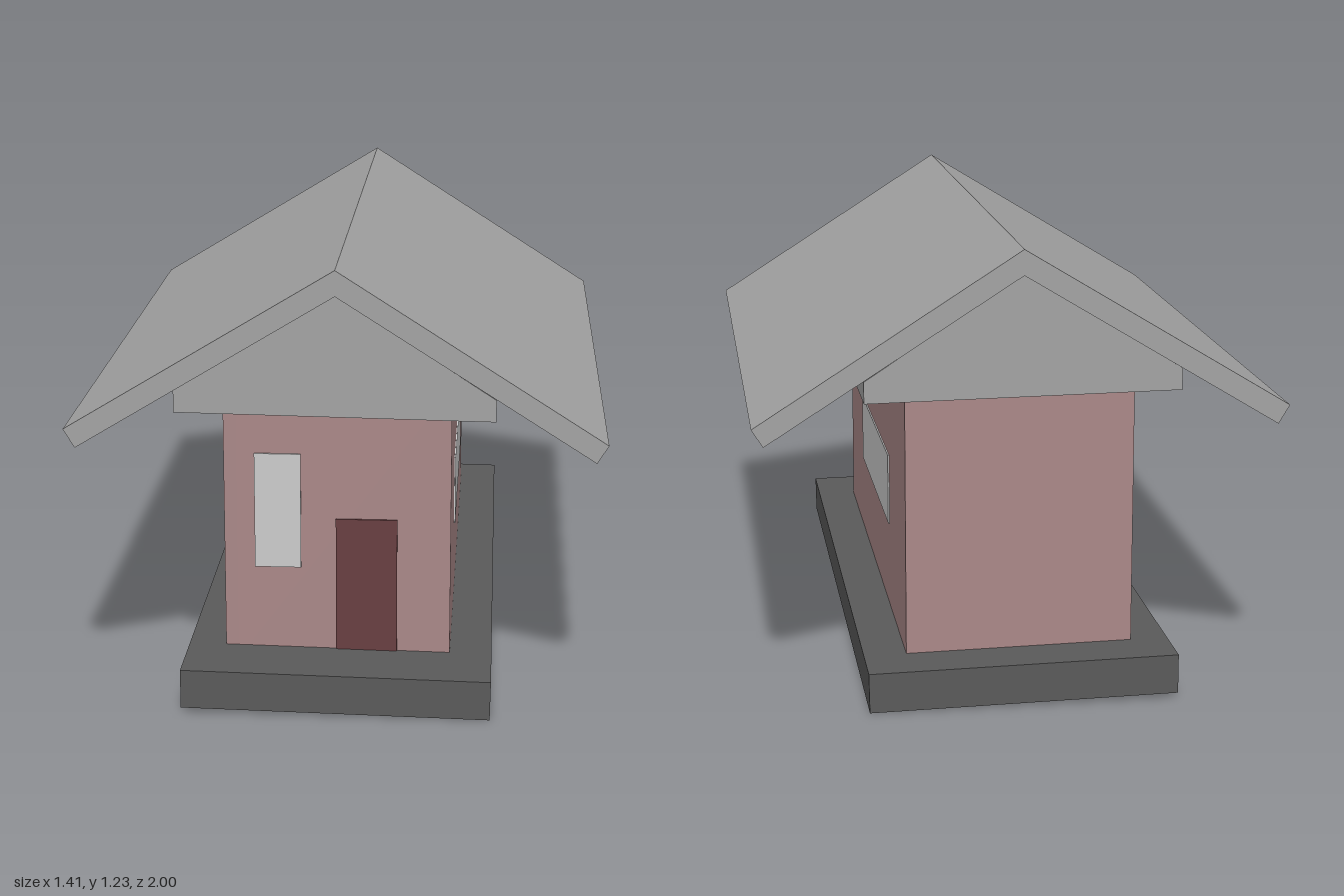
import * as THREE from 'three';

const mat = (color) => new THREE.MeshStandardMaterial({ color, flatShading: true });

// Closed outline in the XY plane
const outline = (pts) => new THREE.Shape(pts.map(([x, y]) => new THREE.Vector2(x, y)));

export function createModel() {
  const house = new THREE.Group();
  house.name = 'house';

  const wallMat = mat(0xaa8888);
  const roofMat = mat(0xa3a3a3);
  const baseMat = mat(0x5a5a5a);
  const glassMat = mat(0xcccccc);
  const doorMat = mat(0x693f41);

  function add(name, geometry, material) {
    const mesh = new THREE.Mesh(geometry, material);
    mesh.name = name;
    house.add(mesh);
    return mesh;
  }

  // Box given by its extents on each axis
  function box(name, [x0, x1], [y0, y1], [z0, z1], material) {
    const mesh = add(name, new THREE.BoxGeometry(x1 - x0, y1 - y0, z1 - z0), material);
    mesh.position.set((x0 + x1) / 2, (y0 + y1) / 2, (z0 + z1) / 2);
    return mesh;
  }

  // Outline pulled along z from z0 to z1
  function prism(name, pts, z0, z1, material) {
    const geometry = new THREE.ExtrudeGeometry(outline(pts), { depth: z1 - z0, bevelEnabled: false });
    geometry.translate(0, 0, z0);
    return add(name, geometry, material);
  }

  // Base slab, leaning very slightly to one side
  prism('base', [[-0.42, 0.015], [0.41, 0], [0.412, 0.108], [-0.42, 0.122]], -1, 0.98, baseMat);

  // Walls: solid core plus a thin skin with the recessed window opening
  box('walls', [-0.285, 0.297], [0.08, 0.86], [-0.855, 0.776], wallMat);
  const skin = outline([[-0.855, 0.08], [0.776, 0.08], [0.776, 0.86], [-0.855, 0.86]]);
  skin.holes.push(new THREE.Path(
    [[-0.435, 0.352], [-0.435, 0.552], [0.355, 0.542], [0.355, 0.343]].map(([z, y]) => new THREE.Vector2(z, y))));
  const skinGeo = new THREE.ExtrudeGeometry(skin, { depth: 0.034, bevelEnabled: false });
  skinGeo.rotateY(-Math.PI / 2);
  skinGeo.translate(-0.285, 0, 0);
  add('rightWallSkin', skinGeo, wallMat);

  // Long side windows: one set back, one flush
  for (const [name, x] of [['rightWindow', -0.285], ['leftWindow', 0.297]]) {
    const pane = box(name, [x - 0.004, x + 0.004], [0.348, 0.548], [-0.435, 0.355], glassMat);
    pane.rotation.x = 0.013;
  }

  // Front window and door
  box('frontWindow', [-0.236, -0.11], [0.35, 0.672], [0.77, 0.781], glassMat);
  box('door', [-0.015, 0.152], [0.1, 0.49], [0.77, 0.781], doorMat);

  // Gable block filling the space under the roof
  prism('gable', [[-0.42, 0.844], [0.415, 0.832], [0.415, 0.89], [0, 1.16], [-0.42, 0.902]], -0.976, 0.996, roofMat);

  // Pitched roof with overhanging eaves
  prism('roof', [
    [0, 1.225], [-0.71, 0.795], [-0.68, 0.745], [0, 1.157], [0.675, 0.727], [0.705, 0.775],
  ], -0.98, 1, roofMat);

  return house;
}
